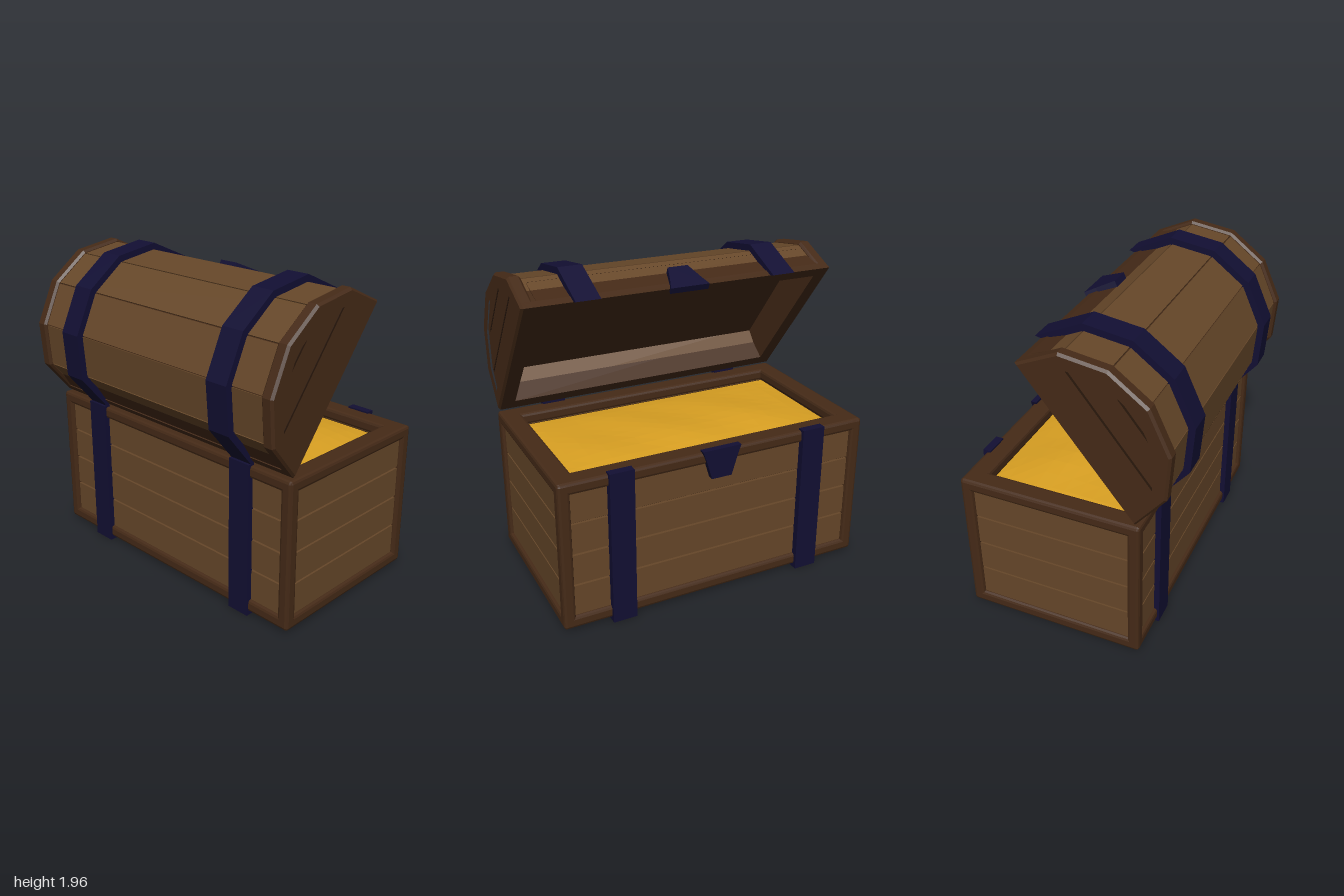
import * as THREE from 'three';
import { RoundedBoxGeometry } from 'three/addons/geometries/RoundedBoxGeometry.js';

const mat = (color, flatShading = true) => new THREE.MeshStandardMaterial({ color, flatShading });
const PLANK = mat(0x664729), FRAME = mat(0x452a17), GROOVE = mat(0x2a180c);
const IRON = mat(0x120f33), GOLD = mat(0xd9a022);

// Base extents and lid profile (hinge edge, over the back, to the front edge)
const X0 = -0.48, X1 = 0.64, Y0 = 0.025, Y1 = 0.965, CX = (X0 + X1) / 2;
const V = (x, y) => new THREE.Vector2(x, y);
const LID = [V(-0.45, 0.98), V(-0.63, 1.2), V(-0.65, 1.475), V(-0.53, 1.735),
  V(-0.31, 1.9), V(-0.035, 1.94), V(0.215, 1.825)];

// Grow (d > 0) or shrink (d < 0) a closed clockwise outline with mitred corners
function offset(pts, d) {
  const normal = (a, b) => V(a.y - b.y, b.x - a.x).normalize();
  return pts.map((p, i) => {
    const n1 = normal(pts.at(i - 1), p), n2 = normal(p, pts[(i + 1) % pts.length]);
    return n1.clone().add(n2).multiplyScalar(d / (1 + n1.dot(n2))).add(p);
  });
}

function add(parent, name, geometry, material) {
  const mesh = new THREE.Mesh(geometry, material);
  mesh.name = name;
  parent.add(mesh);
  return mesh;
}

// Box given by its extents, with small rounded edges when r > 0
function box(parent, name, material, x0, x1, y0, y1, z0, z1, r = 0) {
  const size = [x1 - x0, y1 - y0, z1 - z0];
  const geo = r ? new RoundedBoxGeometry(...size, 1, r) : new THREE.BoxGeometry(...size);
  const mesh = add(parent, name, geo, material);
  mesh.position.set((x0 + x1) / 2, (y0 + y1) / 2, (z0 + z1) / 2);
  return mesh;
}

// Outline in x/y extruded from z0 to z1, optionally with a hole and a bevel
function prism(parent, name, material, pts, z0, z1, { hole, bevel = 0 } = {}) {
  const shape = new THREE.Shape(pts);
  if (hole) shape.holes.push(new THREE.Path(hole));
  const geo = new THREE.ExtrudeGeometry(shape, {
    depth: z1 - z0 - 2 * bevel, bevelEnabled: bevel > 0, bevelSize: bevel,
    bevelThickness: bevel, bevelOffset: -bevel, bevelSegments: 1,
  });
  geo.translate(0, 0, z0 + bevel);
  return add(parent, name, geo, material);
}

// Tapered lock plate starting at (x, y), running along t with outward normal n
function lockPlate(parent, name, x, y, t, n) {
  const shape = new THREE.Shape([V(-0.125, 0), V(-0.1, 0.07), V(-0.065, 0.185),
    V(0.065, 0.185), V(0.1, 0.07), V(0.125, 0)]);
  const geo = new THREE.ExtrudeGeometry(shape, { depth: 0.04, bevelEnabled: false });
  geo.translate(0, 0, -0.02);
  geo.applyMatrix4(new THREE.Matrix4().makeBasis(t.clone().cross(n), t, n).setPosition(x, y, 0));
  add(parent, name, geo, IRON);
}

function buildBase() {
  const base = new THREE.Group();
  base.name = 'base';
  box(base, 'core', GROOVE, X0 + 0.04, X1 - 0.04, Y0 + 0.02, 0.86, -0.96, 0.96);
  box(base, 'bottomBoard', FRAME, X0 + 0.02, X1 - 0.02, Y0 + 0.005, 0.08, -0.98, 0.98);

  // Planks on the four sides, separated by grooves
  for (let i = 0; i < 4; i++) {
    const y0 = i === 0 ? 0.06 : 0.1 + i * 0.2 + 0.006;
    const y1 = i === 3 ? 0.93 : 0.1 + (i + 1) * 0.2 - 0.006;
    box(base, 'longPlanks', PLANK, X1 - 0.06, X1 - 0.022, y0, y1, -0.95, 0.95);
    box(base, 'longPlanks', PLANK, X0 + 0.022, X0 + 0.06, y0, y1, -0.95, 0.95);
    for (const s of [-1, 1])
      box(base, 'endPlanks', PLANK, X0 + 0.05, X1 - 0.05, y0, y1,
        s > 0 ? 0.94 : -0.978, s > 0 ? 0.978 : -0.94);
  }

  // Frame: posts, lower rails and a wider top rim
  const w = 0.075, r = 0.018;
  for (const [xa, xb, ta, tb] of [[X0, X0 + w, X0, X0 + 0.13], [X1 - w, X1, X1 - 0.13, X1]]) {
    for (const s of [-1, 1])
      box(base, 'cornerPost', FRAME, xa, xb, Y0, Y1, s > 0 ? 1 - w : -1, s > 0 ? 1 : w - 1, r);
    box(base, 'lowerRail', FRAME, xa, xb, Y0, Y0 + w, -1, 1, r);
    box(base, 'topRim', FRAME, ta, tb, Y1 - w, Y1, -1, 1, r);
  }
  for (const s of [-1, 1]) {
    const z = (d) => (s > 0 ? [1 - d, 1] : [-1, d - 1]);
    box(base, 'lowerRail', FRAME, X0, X1, Y0, Y0 + w, ...z(w), r);
    box(base, 'topRim', FRAME, X0, X1, Y1 - w, Y1, ...z(0.125), r);
  }

  // Gently heaped gold, tucked under the rim
  const gold = new THREE.PlaneGeometry(0.9, 1.79, 10, 16).rotateX(-Math.PI / 2);
  const p = gold.attributes.position;
  for (let i = 0; i < p.count; i++) {
    const x = p.getX(i), z = p.getZ(i);
    const heap = (1 - (x / 0.45) ** 2) * (1 - (z / 0.895) ** 4);
    p.setY(i, 0.88 + heap * (0.04 + 0.01 * Math.sin(7 * x + 5 * z) * Math.cos(6 * z)));
  }
  gold.translate(CX, 0, 0);
  add(base, 'gold', gold, GOLD);
  return base;
}

function buildLid() {
  const lid = new THREE.Group();
  lid.name = 'lid';
  const a = LID[0], b = LID[6];
  const u = b.clone().sub(a).normalize(), n = V(-u.y, u.x);
  const at = (p, along, up) => p.clone().addScaledVector(u, along).addScaledVector(n, up);

  // Shell with a hollow underside, closed at both ends
  const inner = offset(LID, -0.03);
  const shell = [a, ...inner.slice(1, 6), b];
  prism(lid, 'lidShell', FRAME,
    [...shell, at(b, -0.07, 0), at(b, -0.07, 0.22), at(a, 0.08, 0.22), at(a, 0.08, 0)], -0.9, 0.9);

  // One plank per facet with a thin groove at each joint
  const outer = offset(LID, -0.018), back = offset(LID, -0.05);
  for (let i = 0; i < 6; i++) {
    const mix = (q, k) => q[i].clone().lerp(q[i + 1], k);
    prism(lid, 'lidPlank', PLANK,
      [mix(outer, 0.015), mix(outer, 0.985), mix(back, 0.985), mix(back, 0.015)], -0.94, 0.94);
  }

  // Rim beams along the hinge and front edges
  prism(lid, 'hingeBeam', FRAME,
    [a, a.clone().lerp(LID[1], 0.18), at(a, 0.06, 0.05), at(a, 0.06, 0)], -0.98, 0.98);
  prism(lid, 'frontBeam', FRAME,
    [b, b.clone().lerp(LID[5], 0.18), at(b, -0.06, 0.05), at(b, -0.06, 0)], -0.98, 0.98);

  // End boards, their grooves and the raised frames around them
  for (const s of [-1, 1]) {
    const span = (z0, z1) => (s > 0 ? [z0, z1] : [-z1, -z0]);
    prism(lid, 'endBoard', FRAME, shell, ...span(0.9, 0.975));
    prism(lid, 'endFrame', FRAME, LID, ...span(0.92, 1), { hole: offset(LID, -0.07), bevel: 0.014 });
    for (const [h, from, to] of [[0.225, 0.1, 0.94], [0.39, 0.31, 0.74]])
      prism(lid, 'endGroove', GROOVE,
        [at(a, from, h), at(a, to, h), at(a, to, h + 0.012), at(a, from, h + 0.012)],
        ...span(0.96, 0.977));
  }
  return lid;
}

export function createModel() {
  const chest = new THREE.Group();
  chest.name = 'chest';
  chest.add(buildBase(), buildLid());

  // Iron straps around the base and over the lid
  const baseStrap = [V(-0.492, 0.975), V(-0.492, 0), V(0.66, 0), V(0.66, 0.975),
    V(0.61, 0.975), V(0.61, 0.03), V(-0.45, 0.03), V(-0.45, 0.975)];
  const lidStrap = [...offset(LID, 0.022), ...offset(LID, -0.025).reverse()];
  for (const z of [-0.63, 0.63]) {
    prism(chest, 'baseStrap', IRON, baseStrap, z - 0.075, z + 0.075);
    prism(chest, 'lidStrap', IRON, lidStrap, z - 0.075, z + 0.075);
  }

  // Lock plates on the base and on the lid's front facet
  lockPlate(chest, 'baseLockPlate', 0.635, 0.98, new THREE.Vector3(0, -1, 0), new THREE.Vector3(1, 0, 0));
  const d = LID[5].clone().sub(LID[6]).normalize();
  lockPlate(chest, 'lidLockPlate', 0.233, 1.817, new THREE.Vector3(d.x, d.y, 0), new THREE.Vector3(d.y, -d.x, 0));
  return chest;
}
